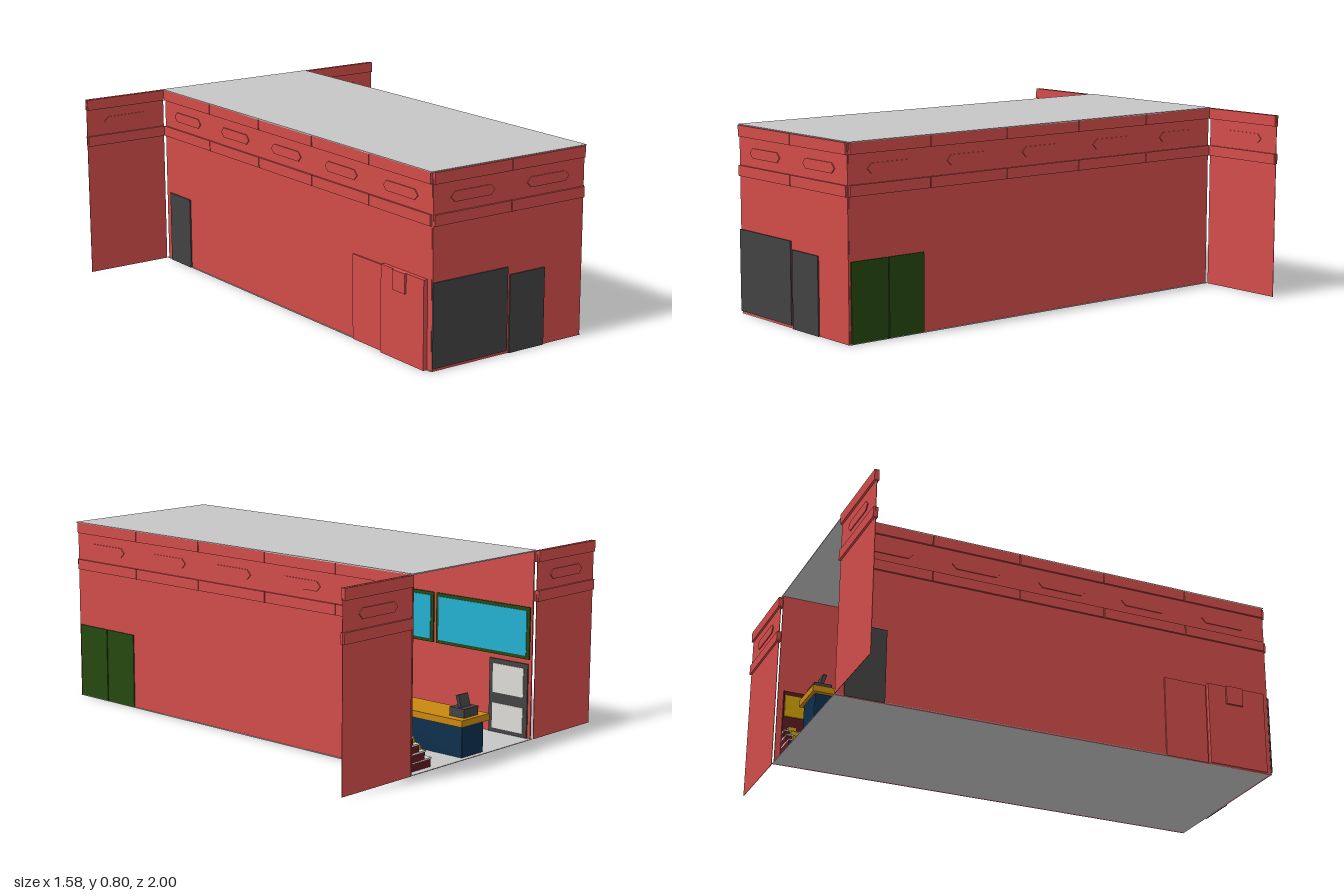
import * as THREE from 'three';

const mat = (name, color, side = THREE.FrontSide) => {
  const m = new THREE.MeshStandardMaterial({ color, side });
  m.name = name;
  return m;
};

export function createModel() {
  const red = mat('wall red', 0xd04c49);
  const grey = mat('light grey', 0xc6c6c6);
  const charcoal = mat('charcoal', 0x424242);
  const green = mat('dark green', 0x254810);
  const gold = mat('counter gold', 0xc9870f);
  const yellow = mat('sign yellow', 0xcfa00a);
  const navy = mat('navy', 0x0c2f4c);
  const cyan = mat('cyan', 0x22b0d0);
  const maroon = mat('maroon', 0x5c1a22);
  const white = mat('off white', 0xdcdad6);

  const model = new THREE.Group();
  model.name = 'shop';

  // box given by its min and max corners
  const box = (parent, name, m, x0, x1, y0, y1, z0, z1) => {
    const mesh = new THREE.Mesh(new THREE.BoxGeometry(x1 - x0, y1 - y0, z1 - z0), m);
    mesh.position.set((x0 + x1) / 2, (y0 + y1) / 2, (z0 + z1) / 2);
    mesh.name = name;
    parent.add(mesh);
    return mesh;
  };
  const polygon = pts => new THREE.Shape(pts.map(p => new THREE.Vector2(...p)));
  const extrude = (pts, depth) =>
    new THREE.ExtrudeGeometry(polygon(pts), { depth, bevelEnabled: false });

  // long hexagonal ornament
  const hexGeo = extrude([[-0.11, 0], [-0.09, -0.021], [0.09, -0.021],
    [0.11, 0], [0.09, 0.021], [-0.09, 0.021]], 0.004);

  // wall facing local +z with two raised bands and a row of ornaments
  const facade = (name, width, bays, thickness) => {
    const g = new THREE.Group();
    g.name = name;
    const w = width / 2, bay = width / bays;
    box(g, 'wall', red, -w, w, 0, 0.795, -thickness, 0);
    for (let i = 0; i < bays; i++) {
      const c = -w + bay * (i + 0.5), h = bay / 2 - 0.002;
      box(g, 'upperBand', red, c - h, c + h, 0.75, 0.797, 0, 0.009);
      box(g, 'lowerBand', red, c - h, c + h, 0.585, 0.63, 0, 0.009);
      const hex = new THREE.Mesh(hexGeo, red);
      hex.name = 'ornament';
      hex.position.set(c, 0.688, 0);
      g.add(hex);
    }
    model.add(g);
    return g;
  };

  // front and long side walls
  facade('frontWall', 0.77, 2, 0.008).position.z = 0.99;
  for (const s of [-1, 1]) {
    const side = facade(s > 0 ? 'leftWall' : 'rightWall', 1.97, 5, 0.006);
    side.rotation.y = s * Math.PI / 2;
    side.position.x = s * 0.386;
    // wing walls, decorated on both faces
    for (const f of [0, 1]) {
      const wing = facade('wingWall', 0.395, 1, 0.001);
      wing.rotation.y = f * Math.PI;
      wing.position.set(s * 0.5925, 0, f ? -0.991 : -0.989);
    }
  }

  // roof and floor
  box(model, 'roof', grey, -0.395, 0.395, 0.795, 0.8, -0.99, 0.99);
  box(model, 'floor', grey, -0.39, 0.39, 0, 0.003, -0.99, 0.99);

  // front panels
  box(model, 'largeFrontPanel', charcoal, -0.387, -0.01, 0.012, 0.36, 0.989, 0.996);
  box(model, 'smallFrontPanel', charcoal, 0.002, 0.183, 0, 0.326, 0.989, 0.996);

  // green double door
  box(model, 'greenDoor', green, 0.385, 0.391, 0.003, 0.33, 0.802, 0.98);
  box(model, 'greenDoor', green, 0.385, 0.391, 0.003, 0.33, 0.624, 0.797);

  // service doors and meter box on the other side
  box(model, 'serviceDoor', red, -0.393, -0.385, 0, 0.36, 0.48, 0.678);
  box(model, 'sidePanel', red, -0.405, -0.385, 0, 0.368, 0.685, 0.96);
  box(model, 'meterBox', red, -0.414, -0.404, 0.285, 0.368, 0.77, 0.85);
  box(model, 'rearSideDoor', charcoal, -0.392, -0.385, 0, 0.32, -0.95, -0.78);

  // rear door and large screens on the inside wall
  box(model, 'doorFrame', charcoal, -0.381, -0.374, 0.003, 0.32, -0.97, -0.77);
  box(model, 'doorPane', white, -0.375, -0.371, 0.175, 0.3, -0.95, -0.79);
  box(model, 'doorPane', white, -0.375, -0.371, 0.02, 0.13, -0.95, -0.79);
  for (const z of [-0.975, -0.46]) {
    box(model, 'screenFrame', green, -0.381, -0.374, 0.34, 0.56, z, z + 0.5);
    box(model, 'screen', cyan, -0.375, -0.371, 0.355, 0.545, z + 0.015, z + 0.485);
  }

  // counter with a chamfered top
  const slab = (name, m, x0, x1, z0, z1, y, h, c, near) => {
    const a = near ? c : 0.001;
    const geo = extrude([[x0 + a, -z0], [x0, -z0 - a], [x0, -z1 + c], [x0 + c, -z1],
      [x1 - c, -z1], [x1, -z1 + c], [x1, -z0 - a], [x1 - a, -z0]], h);
    geo.rotateX(-Math.PI / 2);
    const mesh = new THREE.Mesh(geo, m);
    mesh.name = name;
    mesh.position.y = y;
    model.add(mesh);
  };
  slab('counterBody', navy, -0.084, 0.053, -0.97, -0.53, 0.003, 0.132, 0.04, false);
  slab('counterTop', gold, -0.105, 0.073, -0.985, -0.51, 0.135, 0.028, 0.05, false);
  slab('ceilingCanopy', gold, -0.14, 0.04, -0.64, -0.15, 0.765, 0.03, 0.045, true);

  // cash register
  box(model, 'registerBase', charcoal, -0.055, 0.035, 0.163, 0.2, -0.965, -0.89);
  const screen = box(model, 'registerScreen', charcoal, -0.04, 0.02, 0.195, 0.25, -0.93, -0.915);
  screen.rotation.x = 0.3;

  // stepped shelves with goods along the inside wall
  const tiers = 4, z0 = -0.96, z1 = 0.5;
  box(model, 'shelfBack', maroon, 0.372, 0.38, 0.003, 0.34, z0, z1);
  for (let t = 0; t < tiers; t++) {
    const x = 0.23 + t * 0.036, y = 0.035 + t * 0.035;
    box(model, 'shelfStep', maroon, x + 0.006, 0.375, 0.003 + (t ? y - 0.035 : 0), y, z0, z1);
    box(model, 'shelfBoard', white, x, 0.375, y, y + 0.006, z0, z1);
    for (let i = 0; i < 20; i++) {
      if ((i * 3 + t * 2) % 5 === 0) continue;
      const z = z0 + 0.02 + i * 0.072;
      box(model, 'goods', i < 7 ? yellow : maroon,
        x + 0.006, x + 0.028, y + 0.006, y + 0.024, z, z + 0.035);
    }
  }

  // sign boards above the shelves
  for (let i = 0; i < 4; i++) {
    const z = z0 + i * 0.365;
    box(model, 'signBoard', yellow, 0.366, 0.373, 0.22, 0.32, z + 0.005, z + 0.358);
  }

  return model;
}
